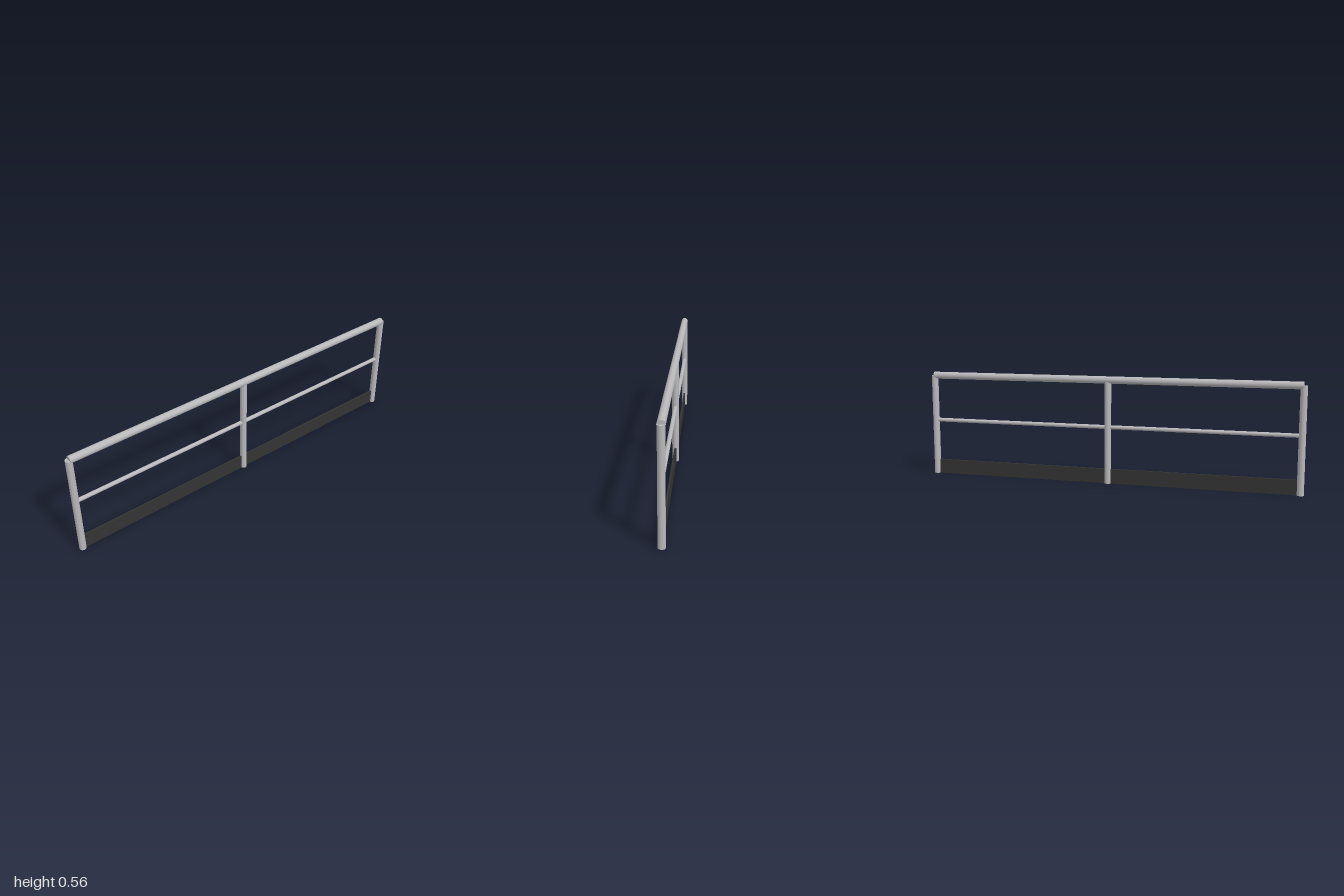
import * as THREE from 'three';

export function createModel() {
  const group = new THREE.Group();
  const steel = new THREE.MeshStandardMaterial({ color: 0xb8b8bb });
  const darkBoard = new THREE.MeshStandardMaterial({ color: 0x333333 });

  const POST_R = 0.0175, POST_X = 1 - POST_R, RAIL_Y = 0.542;

  // Round bar, upright or lying along x
  function bar(name, radius, length, x, y, lying) {
    const geometry = new THREE.CylinderGeometry(radius, radius, length, 24);
    if (lying) geometry.rotateZ(Math.PI / 2);
    const mesh = new THREE.Mesh(geometry, steel);
    mesh.name = name;
    mesh.position.set(x, y, 0);
    group.add(mesh);
  }

  // Three upright posts
  [['rightPost', -POST_X], ['middlePost', 0], ['leftPost', POST_X]].forEach(([name, x]) =>
    bar(name, POST_R, RAIL_Y, x, RAIL_Y / 2, false));

  // Handrail on top and thinner rail at mid height
  bar('topRail', 0.019, POST_X * 2, 0, RAIL_Y, true);
  bar('midRail', 0.0105, POST_X * 2, 0, 0.297, true);

  // Toe board along the floor
  const toeBoard = new THREE.Mesh(new THREE.BoxGeometry(POST_X * 2, 0.077, 0.01), darkBoard);
  toeBoard.name = 'toeBoard';
  toeBoard.position.y = 0.0385;
  group.add(toeBoard);

  return group;
}
